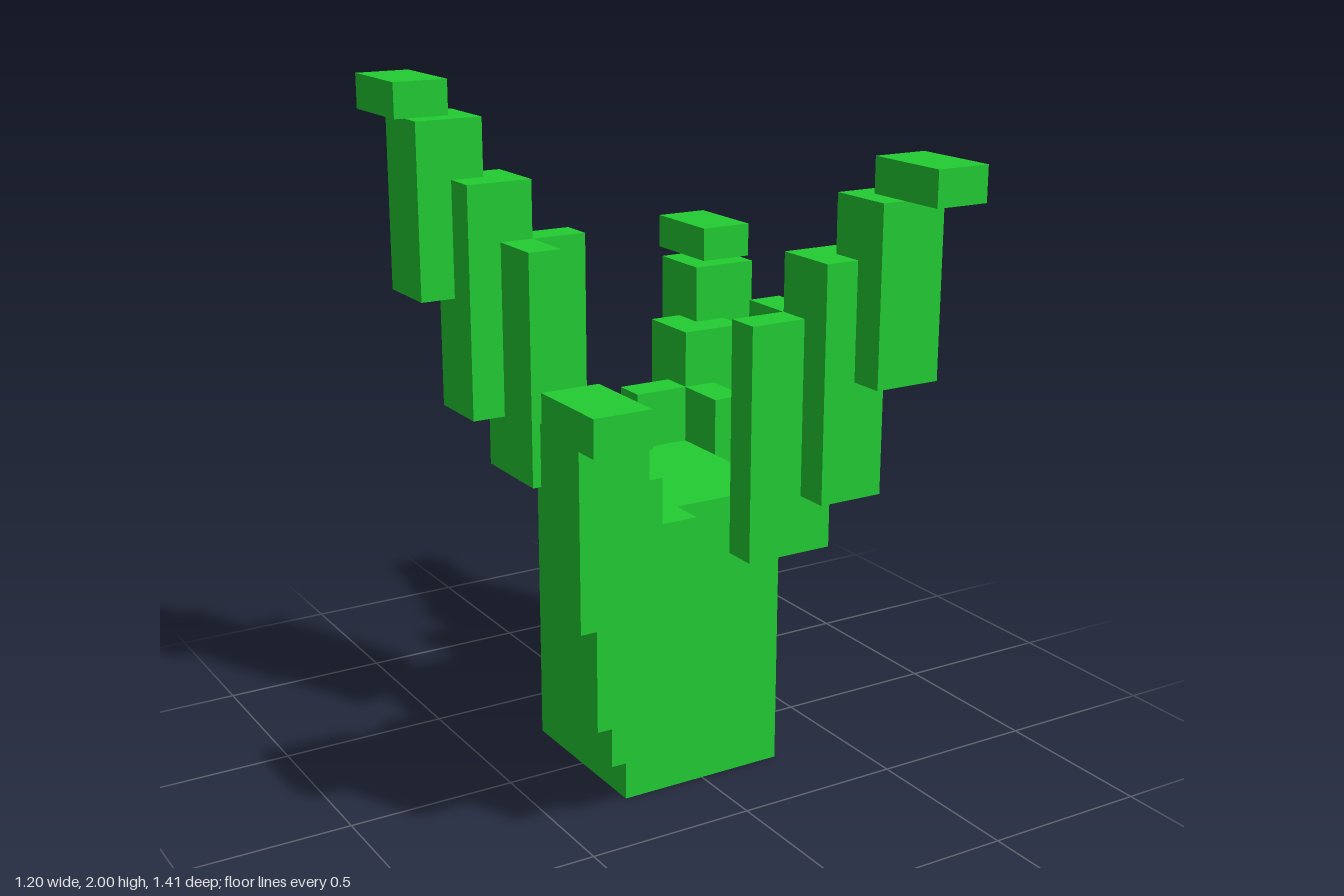
import * as THREE from 'three';

export function createModel() {
  const model = new THREE.Group();
  const green = new THREE.MeshStandardMaterial({ color: 0x22cc33 });
  green.name = 'plant green';

  // Box given by its low and high limits on each axis
  function box(parent, name, [x0, x1], [y0, y1], [z0, z1]) {
    const mesh = new THREE.Mesh(new THREE.BoxGeometry(x1 - x0, y1 - y0, z1 - z0), green);
    mesh.position.set((x0 + x1) / 2, (y0 + y1) / 2, (z0 + z1) / 2);
    mesh.name = name;
    parent.add(mesh);
  }

  // Central trunk
  const u = 0.1724;
  box(model, 'trunk', [-0.259, 0.259], [0, 5 * u], [-0.259, 0.259]);

  // Stepped arm growing outward from one trunk corner, starting at height b
  function arm(name, sx, sz, b) {
    const group = new THREE.Group();
    group.name = name;
    const span = (s, lo, hi) => (s > 0 ? [lo, hi] : [-hi, -lo]);
    const part = (label, x, y, z) =>
      box(group, label, span(sx, ...x), [b + y[0], b + y[1]], span(sz, ...z));

    // L-shaped root wrapped around the trunk corner
    part('rootFace', [0.088, 0.362], [0, 4 * u], [0.259, 0.362]);
    part('rootSide', [0.259, 0.362], [0, 4 * u], [0.088, 0.259]);
    part('lowerStem', [0.26, 0.463], [u, 5 * u], [0.26, 0.463]);
    part('upperStem', [0.362, 0.568], [3 * u, 6 * u], [0.362, 0.568]);
    part('tip', [0.433, 0.6], [6 * u, 6.6 * u], [0.433, 0.703]);
    model.add(group);
  }

  arm('frontRightArm', -1, 1, u);
  arm('backLeftArm', 1, -1, 2 * u);
  arm('frontLeftArm', 1, 1, 4 * u);
  arm('backRightArm', -1, -1, 5 * u);

  return model;
}
